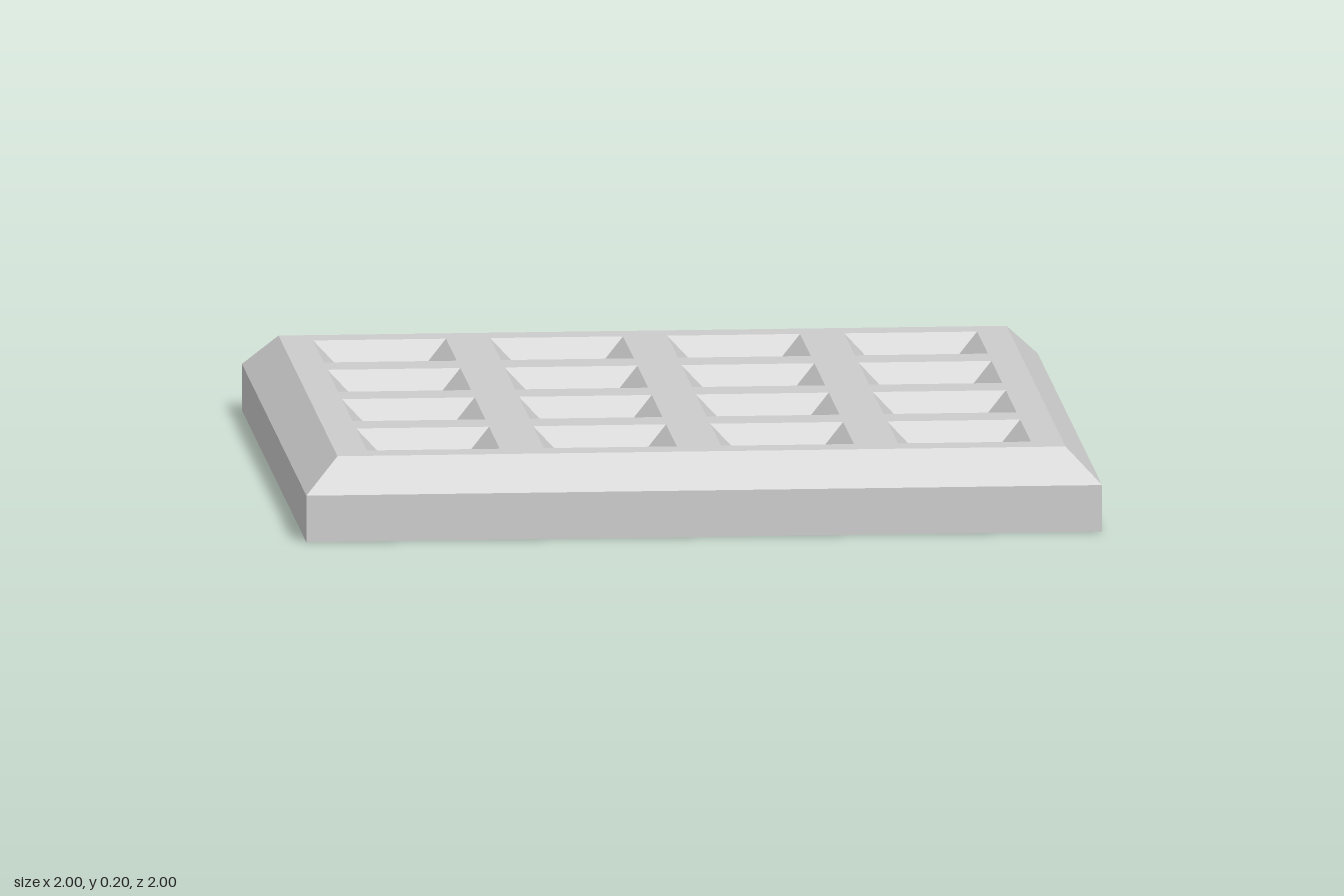
import * as THREE from 'three';

const HEIGHT = 0.203;      // total thickness
const BEVEL = 0.085;       // chamfer of the outer rim
const HOLE_TOP = 0.167;    // half width of a hole at the top face
const HOLE = 0.1125;       // half width of a hole below its chamfer
const HOLE_BEVEL = 0.054;  // depth of the hole chamfer
const CENTRES = [-0.6675, -0.2225, 0.2225, 0.6675];

const material = new THREE.MeshStandardMaterial({ color: 0xcccccc, flatShading: true });

// Four-sided wall from [half width, y] points; rising faces out, falling faces in.
function squareWall(profile) {
  const points = profile.map(([half, y]) => new THREE.Vector2(half * Math.SQRT2, y));
  return new THREE.LatheGeometry(points, 4, Math.PI / 4);
}

function square(target, x, y, half) {
  target.moveTo(x - half, y - half);
  target.lineTo(x + half, y - half);
  target.lineTo(x + half, y + half);
  target.lineTo(x - half, y + half);
  target.closePath();
  return target;
}

// Flat square sheet pierced by the grid of holes.
function piercedSheet(half, holeHalf) {
  const shape = square(new THREE.Shape(), 0, 0, half);
  for (const x of CENTRES) {
    for (const y of CENTRES) shape.holes.push(square(new THREE.Path(), x, y, holeHalf));
  }
  return new THREE.ShapeGeometry(shape);
}

export function createModel() {
  const model = new THREE.Group();
  model.name = 'gratingPlate';

  const add = (name, geometry, parent = model) => {
    const mesh = new THREE.Mesh(geometry, material);
    mesh.name = name;
    parent.add(mesh);
    return mesh;
  };

  // Outer sides with the chamfered rim
  add('outerRim', squareWall([[1, 0], [1, HEIGHT - BEVEL], [1 - BEVEL, HEIGHT]]));

  // Top and bottom faces
  add('topFace', piercedSheet(1 - BEVEL, HOLE_TOP).rotateX(-Math.PI / 2)).position.y = HEIGHT;
  add('bottomFace', piercedSheet(1, HOLE).rotateX(Math.PI / 2));

  // Chamfered square holes
  const holes = new THREE.Group();
  holes.name = 'holes';
  model.add(holes);
  const holeWall = squareWall([[HOLE_TOP, HEIGHT], [HOLE, HEIGHT - HOLE_BEVEL], [HOLE, 0]]);
  for (const x of CENTRES) {
    for (const z of CENTRES) add('holeWall', holeWall, holes).position.set(x, 0, z);
  }

  return model;
}
